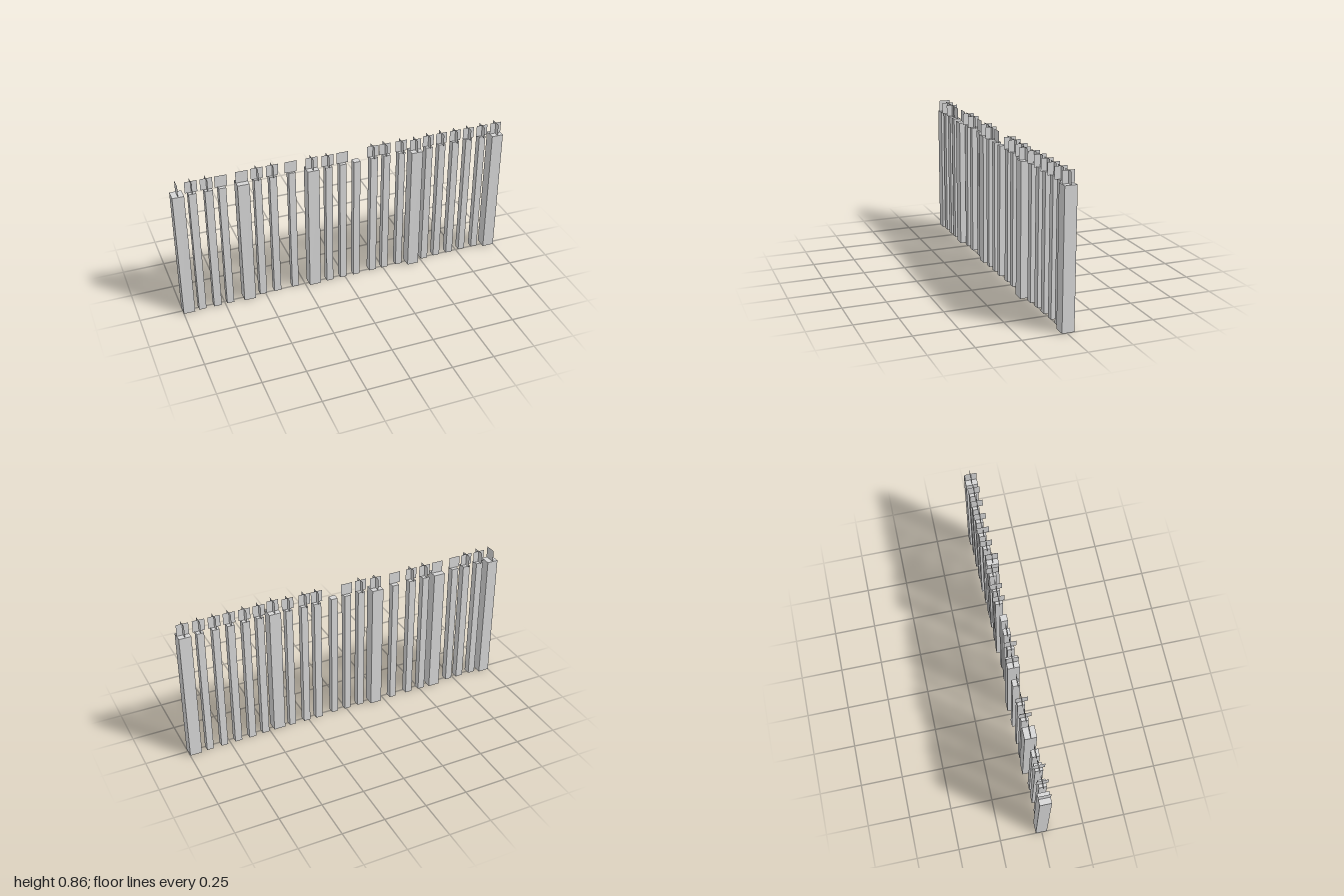
import * as THREE from 'three';

const HEIGHT = 0.787; // post height
const FIN = 0.07; // side of the square fins on top

// Each post: x, z, width, fins on top (x = cross of two, f = facing front, s = facing sideways), fin x
const POSTS = [
  [-0.967, -0.003, 0.067, 's', -0.967],
  [-0.886, 0.002, 0.043, 'x', -0.888],
  [-0.795, 0.002, 0.045, 'x', -0.802],
  [-0.718, 0.002, 0.042, 'f', -0.721],
  [-0.601, -0.003, 0.069, 'f', -0.601],
  [-0.512, -0.013, 0.042, 'x', -0.513],
  [-0.423, -0.013, 0.042, 'x', -0.424],
  [-0.311, -0.016, 0.04, 'f', -0.316],
  [-0.192, -0.008, 0.069, 'x', -0.192],
  [-0.097, 0, 0.041, 'x', -0.099],
  [-0.01, -0.002, 0.04, 'f', -0.01],
  [0.074, -0.001, 0.04, '', 0],
  [0.182, -0.008, 0.043, 'x', 0.179],
  [0.261, -0.007, 0.04, 'x', 0.254],
  [0.354, -0.007, 0.04, 'x', 0.355],
  [0.438, 0.008, 0.069, 'x', 0.439],
  [0.527, -0.007, 0.042, 'x', 0.527],
  [0.612, -0.013, 0.042, 'x', 0.612],
  [0.7, -0.013, 0.042, 'x', 0.7],
  [0.787, -0.016, 0.04, 'x', 0.786],
  [0.875, -0.016, 0.04, 'x', 0.874],
  [0.964, -0.008, 0.07, 'x', 0.964],
];

// Square post, closed on top and open underneath
function postGeometry(width) {
  const geometry = new THREE.BoxGeometry(width, HEIGHT, width);
  const faces = Array.from(geometry.index.array);
  faces.splice(18, 6); // bottom face
  geometry.setIndex(faces);
  geometry.clearGroups();
  return geometry;
}

export function createModel() {
  const model = new THREE.Group();
  model.name = 'postRow';

  const lightGrey = new THREE.MeshStandardMaterial({ color: 0xd6d6d6, side: THREE.DoubleSide });
  lightGrey.name = 'lightGrey';

  const finGeometry = new THREE.PlaneGeometry(FIN, FIN);

  // Upright square fin standing on a post
  const addFin = (x, z, turn, name) => {
    const fin = new THREE.Mesh(finGeometry, lightGrey);
    fin.name = name;
    fin.position.set(x, HEIGHT + FIN / 2, z);
    fin.rotation.y = turn;
    model.add(fin);
  };

  for (const [x, z, width, fins, finX] of POSTS) {
    const post = new THREE.Mesh(postGeometry(width), lightGrey);
    post.name = width > 0.06 ? 'widePost' : 'narrowPost';
    post.position.set(x, HEIGHT / 2, z);
    model.add(post);

    // Fins stay within the depth of the wide posts
    const finZ = Math.max(z, -0.008);
    if (fins === 'x' || fins === 'f') addFin(finX, finZ, 0, 'frontFin');
    if (fins === 'x' || fins === 's') addFin(finX, finZ, Math.PI / 2, 'sideFin');
  }

  return model;
}
